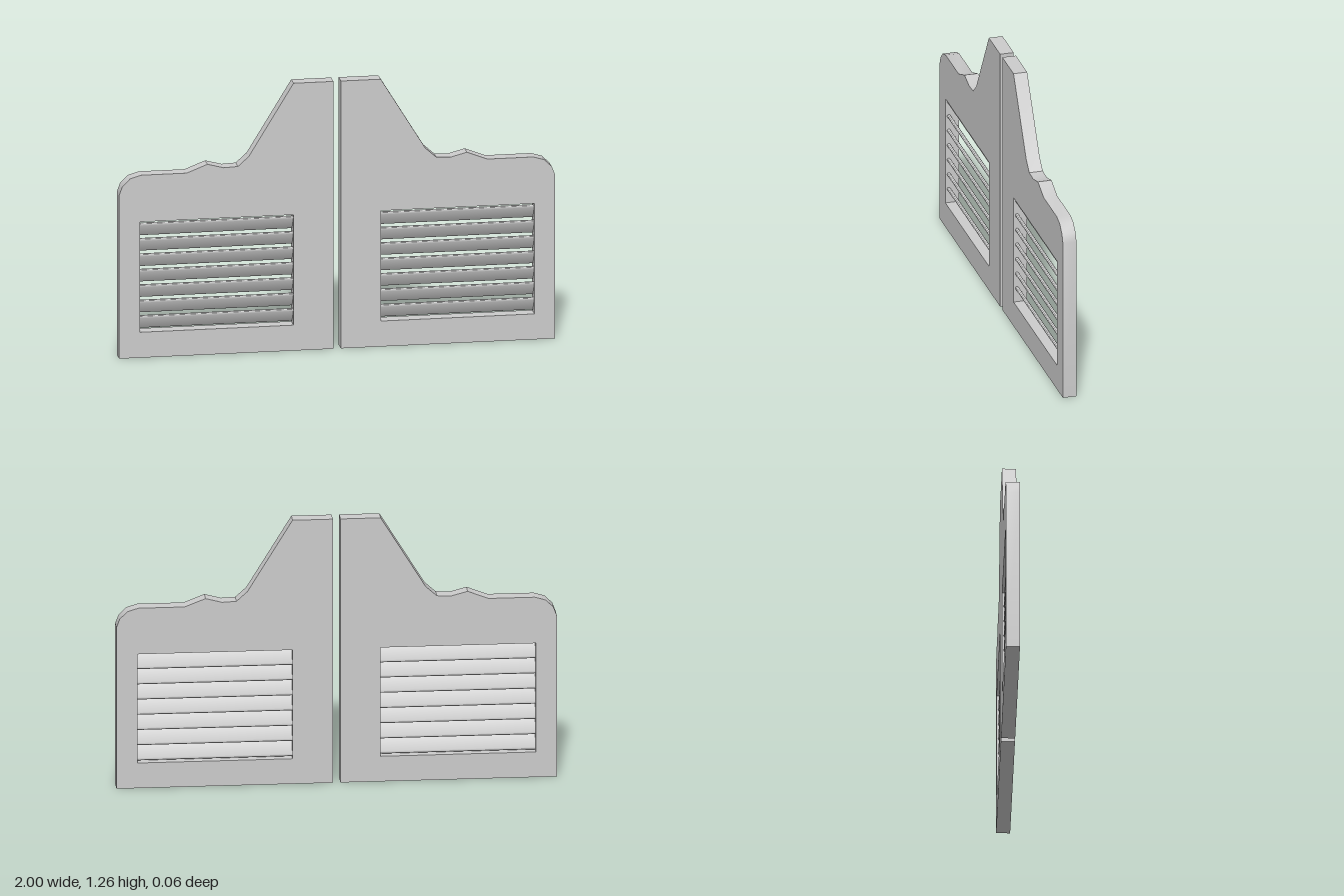
import * as THREE from 'three';
import { toCreasedNormals } from 'three/addons/utils/BufferGeometryUtils.js';

const DEPTH = 0.064;
const OPENING = { x0: 0.2, x1: 0.905, y0: 0.12, y1: 0.64 };
const SLATS = 7;

// Half of the saloon door pair; side is +1 (left) or -1 (right)
const OUTLINE = [
  [0.017, 0], [1, 0], [1, 0.77], [0.985, 0.81], [0.95, 0.845], [0.9, 0.86],
  [0.69, 0.86], [0.595, 0.897], [0.52, 0.877], [0.455, 0.88], [0.405, 0.925],
  [0.2, 1.26], [0.017, 1.26],
];

function panelGeometry(side) {
  const toVectors = (pts) => pts.map(([x, y]) => new THREE.Vector2(side * x, y));
  const { x0, x1, y0, y1 } = OPENING;
  const shape = new THREE.Shape(toVectors(OUTLINE));
  shape.holes.push(new THREE.Path(toVectors([[x0, y0], [x0, y1], [x1, y1], [x1, y0]])));
  const geo = new THREE.ExtrudeGeometry(shape, { depth: DEPTH, bevelEnabled: false });
  geo.translate(0, 0, -DEPTH / 2);
  return toCreasedNormals(geo, 0.54);
}

// Slat: a thin board with rounded long edges, running along x
function slatGeometry() {
  const r = 0.008, half = 0.0305;
  const shape = new THREE.Shape();
  shape.absarc(0, half, r, 0, Math.PI, false);
  shape.absarc(0, -half, r, Math.PI, Math.PI * 2, false);
  const length = OPENING.x1 - OPENING.x0;
  const geo = new THREE.ExtrudeGeometry(shape, { depth: length, bevelEnabled: false, curveSegments: 8 });
  geo.translate(0, 0, -length / 2);
  geo.rotateY(Math.PI / 2);
  // Lean the upper edge to the front
  geo.rotateX(0.55);
  return toCreasedNormals(geo, 0.6);
}

export function createModel() {
  const material = new THREE.MeshStandardMaterial({ color: 0xcccccc });
  const model = new THREE.Group();
  model.name = 'saloonDoors';
  const slatGeo = slatGeometry();
  const pitch = 0.0727;
  const midY = (OPENING.y0 + OPENING.y1) / 2;

  for (const side of [1, -1]) {
    const door = new THREE.Group();
    door.name = side > 0 ? 'leftDoor' : 'rightDoor';

    const panel = new THREE.Mesh(panelGeometry(side), material);
    panel.name = 'doorPanel';
    door.add(panel);

    // Louvre slats filling the opening
    const louvres = new THREE.Group();
    louvres.name = 'louvres';
    for (let i = 0; i < SLATS; i++) {
      const slat = new THREE.Mesh(slatGeo, material);
      slat.name = 'slat';
      slat.position.set(side * (OPENING.x0 + OPENING.x1) / 2, midY + (i - (SLATS - 1) / 2) * pitch, 0);
      louvres.add(slat);
    }
    door.add(louvres);
    model.add(door);
  }
  return model;
}
